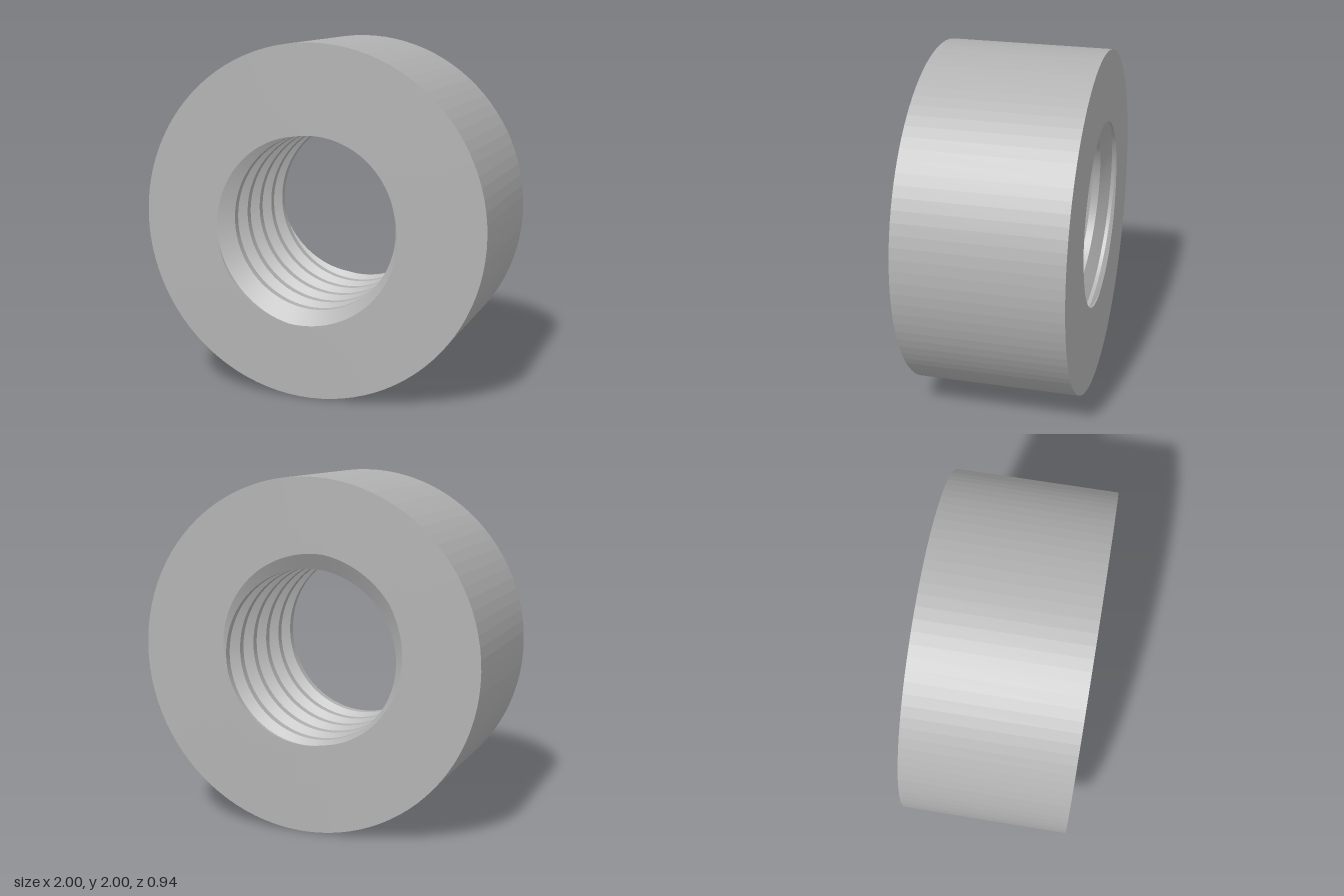
import * as THREE from 'three';

const LENGTH = 0.94;            // along z
const OUTER = 1, OUTER_SIDES = 96;
const MINOR = 0.495, MAJOR = 0.59;
const PITCH = LENGTH / 5.3125;  // right-hand helix
const COLUMNS = 288;            // angular steps of the bore
const STEP = 360 / COLUMNS;

// Thread profile: corner positions in degrees of one turn, [phase, radius]
const PROFILE = [[100, MINOR], [212.5, MAJOR], [257.5, MAJOR], [370, MINOR], [460, MINOR]];

function threadRadius(phase) {
  const p = 100 + ((((phase - 100) % 360) + 360) % 360);
  for (let i = 0; i < PROFILE.length - 1; i++) {
    const [p0, r0] = PROFILE[i], [p1, r1] = PROFILE[i + 1];
    if (p <= p1) return r0 + (r1 - r0) * (p - p0) / (p1 - p0);
  }
  return MINOR;
}

function polar(radius, degrees, depth) {
  const a = degrees * Math.PI / 180;
  return [radius * Math.cos(a), 1 + radius * Math.sin(a), LENGTH / 2 - depth];
}

// Point on the threaded surface, depth measured from the front face
function borePoint(degrees, depth) {
  return polar(threadRadius(degrees + 360 * depth / PITCH), degrees, depth);
}

// Point on the rim of the many-sided outer body
function rimPoint(degrees, depth) {
  const side = 360 / OUTER_SIDES;
  const off = (degrees % side) - side / 2;
  const r = OUTER * Math.cos(Math.PI / OUTER_SIDES) / Math.cos(off * Math.PI / 180);
  return polar(r, degrees, depth);
}

function quad(out, a, b, c, d) {
  out.push(...a, ...b, ...c, ...a, ...c, ...d);
}

function toGeometry(positions) {
  const g = new THREE.BufferGeometry();
  g.setAttribute('position', new THREE.Float32BufferAttribute(positions, 3));
  g.computeVertexNormals();
  return g;
}

// Helical strips between profile corners, trimmed at both end faces
function boreGeometry() {
  const out = [];
  const corners = [];
  for (let turn = -2; turn <= 7; turn++) {
    for (let i = 0; i < 4; i++) corners.push(PROFILE[i][0] + 360 * turn);
  }
  const depthAt = (corner, deg) =>
    THREE.MathUtils.clamp((corner - deg) / 360 * PITCH, 0, LENGTH);
  for (let c = 0; c < COLUMNS; c++) {
    const t0 = c * STEP, t1 = t0 + STEP;
    for (let k = 0; k < corners.length - 1; k++) {
      const a = depthAt(corners[k], t0), b = depthAt(corners[k], t1);
      const d = depthAt(corners[k + 1], t0), e = depthAt(corners[k + 1], t1);
      const p = borePoint(t0, a), q = borePoint(t1, b), r = borePoint(t1, e), s = borePoint(t0, d);
      // skip the collapsed halves at the trimmed ends
      if (e - b > 1e-7) out.push(...p, ...q, ...r);
      if (d - a > 1e-7) out.push(...p, ...r, ...s);
    }
  }
  return toGeometry(out);
}

// Flat ring whose inner edge follows the cut thread
function endGeometry(depth, back) {
  const out = [];
  for (let c = 0; c < COLUMNS; c++) {
    const t0 = c * STEP, t1 = t0 + STEP;
    const i0 = borePoint(t0, depth), i1 = borePoint(t1, depth);
    const o0 = rimPoint(t0, depth), o1 = rimPoint(t1, depth);
    if (back) quad(out, i0, i1, o1, o0);
    else quad(out, i0, o0, o1, i1);
  }
  return toGeometry(out);
}

export function createModel() {
  const group = new THREE.Group();
  group.name = 'roundNut';
  const steel = new THREE.MeshStandardMaterial({ color: 0xb2b2b2, flatShading: true });
  steel.name = 'greySteel';

  const add = (name, geometry) => {
    const mesh = new THREE.Mesh(geometry, steel);
    mesh.name = name;
    group.add(mesh);
  };

  // Outer wall
  const wall = new THREE.CylinderGeometry(OUTER, OUTER, LENGTH, OUTER_SIDES, 1, true);
  wall.rotateX(Math.PI / 2).translate(0, 1, 0);
  add('outerWall', wall);

  // End faces and threaded hole
  add('frontFace', endGeometry(0, false));
  add('backFace', endGeometry(LENGTH, true));
  add('threadedBore', boreGeometry());
  return group;
}
